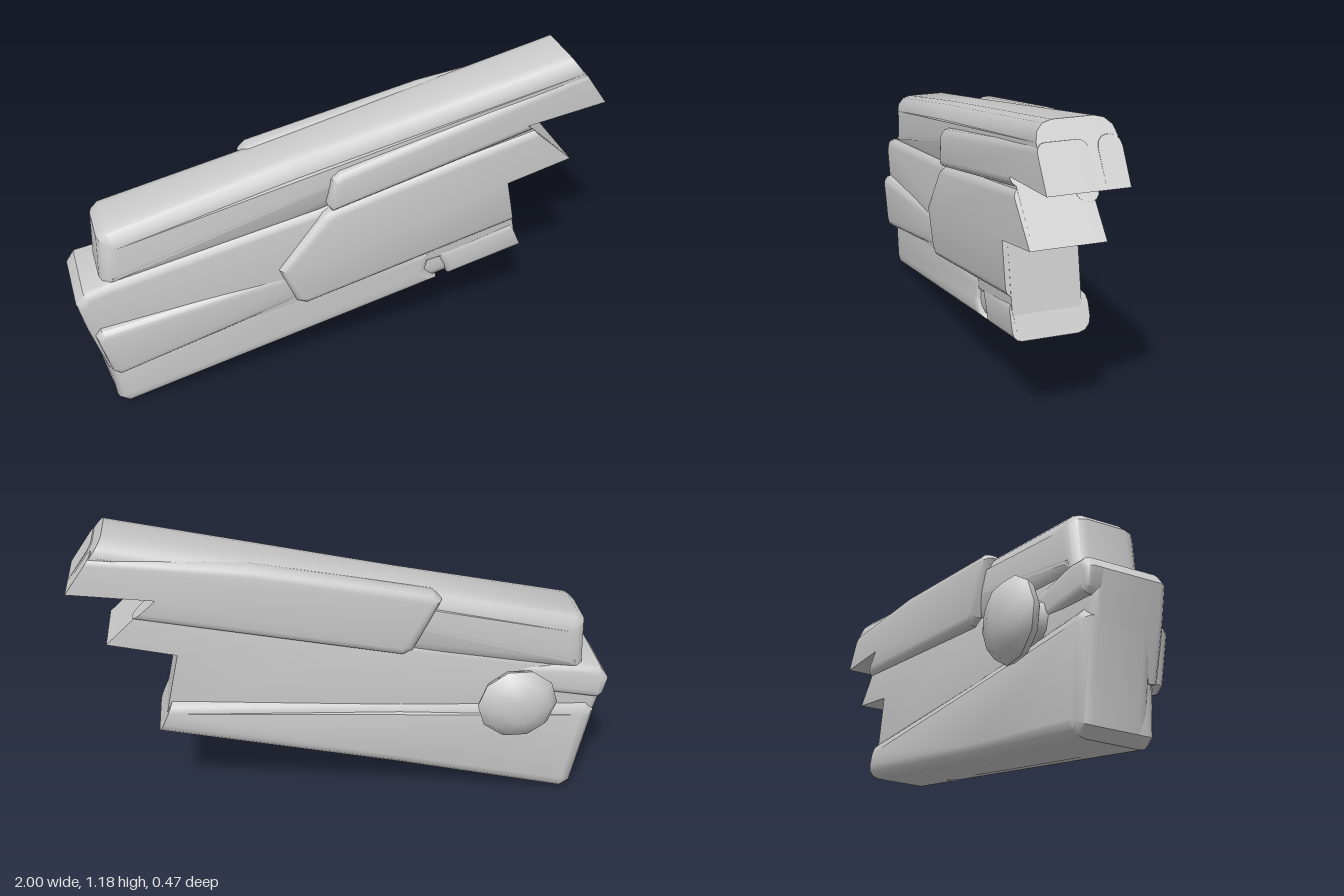
import * as THREE from 'three';
import { toCreasedNormals } from 'three/addons/utils/BufferGeometryUtils.js';

const material = new THREE.MeshStandardMaterial({ color: 0xcccccc });
const STEPS = 3;
const WAIST_X = -0.2;

// Depth at x from [z at x = -1, z at the waist, z at x = 1]
function depthAt([left, waist, right], x) {
  return x < WAIST_X
    ? THREE.MathUtils.mapLinear(x, -1, WAIST_X, left, waist)
    : THREE.MathUtils.mapLinear(x, WAIST_X, 1, waist, right);
}

// Plate from a counter-clockwise [x, y, cut] outline. Edges starting at a point
// with cut = 1 stay square, the others are rounded over. back and front give
// the depth along the length, as in depthAt.
function plate(name, outline, back, front, bevel) {
  const n = outline.length;
  const normals = outline.map((p, i) => {
    const q = outline[(i + 1) % n];
    const l = Math.hypot(q[0] - p[0], q[1] - p[1]);
    return [-(q[1] - p[1]) / l, (q[0] - p[0]) / l, p[2] ? 0 : 1];
  });
  // Direction in which each corner moves when its two edges are inset
  const shift = outline.map((p, i) => {
    const a = normals[(i + n - 1) % n], b = normals[i];
    const det = a[0] * b[1] - a[1] * b[0];
    return [(a[2] * b[1] - b[2] * a[1]) / det, (a[0] * b[2] - b[0] * a[2]) / det];
  });
  const pos = [], index = [];
  const addRing = (inset, side, depth) => outline.forEach((p, i) => {
    const x = p[0] + shift[i][0] * inset, y = p[1] + shift[i][1] * inset;
    pos.push(x, y, depthAt(side < 0 ? back : front, x) - side * depth);
  });
  for (const side of [-1, 1]) {
    for (let k = 0; k <= STEPS; k++) {
      const a = (side < 0 ? k : STEPS - k) / STEPS * Math.PI / 2;
      addRing(bevel * (1 - Math.sin(a)), side, bevel * (1 - Math.cos(a)));
    }
  }
  const rings = 2 * (STEPS + 1);
  for (let r = 0; r < rings - 1; r++) {
    for (let i = 0; i < n; i++) {
      const j = (i + 1) % n, a = r * n + i, b = r * n + j;
      index.push(a, b, b + n, a, b + n, a + n);
    }
  }
  // Caps
  const last = (rings - 1) * n;
  const flat = outline.map((p, i) => new THREE.Vector2(pos[i * 3], pos[i * 3 + 1]));
  for (const [a, b, c] of THREE.ShapeUtils.triangulateShape(flat, [])) {
    index.push(a, c, b, last + a, last + b, last + c);
  }
  const geo = new THREE.BufferGeometry();
  geo.setAttribute('position', new THREE.Float32BufferAttribute(pos, 3));
  geo.setIndex(index);
  const mesh = new THREE.Mesh(toCreasedNormals(geo, 0.62), material);
  mesh.name = name;
  return mesh;
}

export function createModel() {
  const group = new THREE.Group();
  group.name = 'steppedBeam';

  // Main body, slightly waisted, with the stepped, square-cut right end
  group.add(
    plate('core', [
      [-0.975, 0.4], [-0.92, 0.2], [0.69, 0.44, 1], [0.63, 0.71, 1], [0.88, 0.77, 1],
      [0.69, 0.95], [-0.1, 0.73], [-0.88, 0.59], [-0.97, 0.565], [-1, 0.52],
    ], [-0.075, -0.07, -0.07], [0.2, 0.175, 0.175], 0.03),
    plate('upperBeam', [
      [-0.905, 0.56], [-0.87, 0.545], [-0.2, 0.66], [0.69, 0.95, 1], [1, 0.99, 1], [0.86, 1.18],
      [-0.2, 0.942], [-0.865, 0.79], [-0.895, 0.76],
    ], [-0.092, -0.073, -0.082], [0.182, 0.162, 0.18], 0.062),
    plate('lowerBeam', [
      [-0.9, 0.03], [-0.86, 0], [-0.2, 0.157], [0.72, 0.38, 1], [0.66, 0.52],
      [-0.2, 0.465], [-0.93, 0.41], [-0.965, 0.37],
    ], [-0.1, -0.082, -0.099], [0.17, 0.17, 0.17], 0.05),
  );

  // Raised panels on the front
  group.add(
    plate('frontLowerRail', [
      [-0.9, 0.03], [-0.86, 0], [0.38, 0.298], [0.33, 0.36], [0.35, 0.46], [-0.92, 0.25],
    ], [0, 0, 0], [0.19, 0.188, 0.185], 0.04),
    plate('frontRailEnd', [
      [0.42, 0.308], [0.72, 0.38, 1], [0.665, 0.505], [0.36, 0.43],
    ], [0, 0, 0], [0.182, 0.182, 0.182], 0.03),
    plate('frontLeftPanel', [
      [-0.95, 0.38], [-0.91, 0.21], [-0.88, 0.185], [0, 0.385], [0, 0.5], [-0.93, 0.41],
    ], [0.02, 0.02, 0.02], [0.238, 0.185, 0.15], 0.035),
    plate('frontCenterPanel', [
      [-0.265, 0.51], [-0.2, 0.35], [-0.16, 0.33], [0.67, 0.52, 1], [0.63, 0.71, 1],
      [0.88, 0.77, 1], [0.72, 0.92], [-0.05, 0.74], [-0.09, 0.72],
    ], [0.02, 0.02, 0.02], [0.225, 0.21, 0.185], 0.03),
    plate('frontUpperStrip', [
      [-0.075, 0.76], [-0.06, 0.735], [0.72, 0.92, 1], [0.69, 0.95, 1], [1, 0.99, 1],
      [0.905, 1.125], [-0.03, 0.895], [-0.06, 0.87],
    ], [0.02, 0.02, 0.02], [0.24, 0.216, 0.18], 0.03),
  );

  // Raised panels on the back
  group.add(
    plate('backUpperPanel', [
      [-0.34, 0.89], [-0.24, 0.69], [-0.2, 0.67], [0.78, 0.87, 1], [0.69, 0.95, 1],
      [1, 0.99, 1], [0.9, 1.13], [0.35, 1.06], [-0.31, 0.92],
    ], [-0.108, -0.104, -0.088], [-0.01, -0.01, -0.01], 0.035),
    plate('backRidge', [
      [-0.985, 0.455], [-0.965, 0.435], [-0.5, 0.5], [-0.5, 0.6], [-0.88, 0.585],
      [-0.97, 0.565], [-1, 0.52],
    ], [-0.108, -0.03, 0], [0.05, 0.05, 0.05], 0.03),
  );

  // Mushroom-shaped knob on the back
  const profile = [
    [0.085, 0], [0.08, 0.065], [0.1, 0.067], [0.14, 0.09], [0.152, 0.118],
    [0.12, 0.16], [0.055, 0.18], [0, 0.184],
  ].map(([r, h]) => new THREE.Vector2(r, h));
  const cap = new THREE.LatheGeometry(profile, 10, Math.PI / 2);
  const knob = new THREE.Mesh(toCreasedNormals(cap, 0.8), material);
  knob.name = 'knob';
  knob.position.set(-0.63, 0.485, -0.05);
  knob.rotation.x = -Math.PI / 2 - 0.06;
  group.add(knob);

  return group;
}
